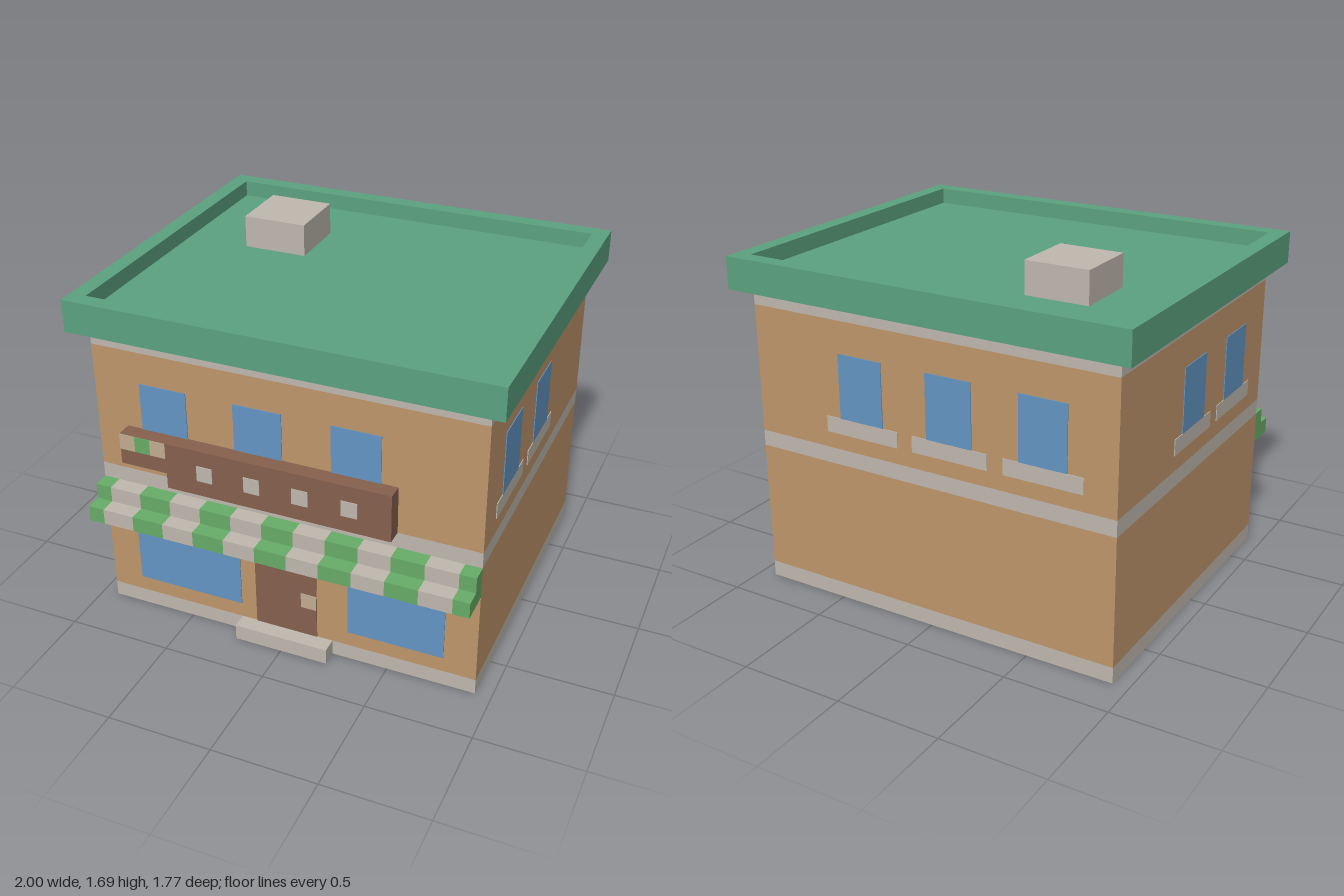
import * as THREE from 'three';

const U = 1 / 13; // one block
const T = 0.05;   // plate thickness, in blocks

const paint = (name, color) => {
  const m = new THREE.MeshStandardMaterial({ color });
  m.name = name;
  return m;
};

export function createModel() {
  const tan = paint('tan wall', 0xc0976c);
  const stone = paint('pale stone', 0xc1b9af);
  const teal = paint('roof green', 0x5ca380);
  const brown = paint('brown wood', 0x87604e);
  const blue = paint('window blue', 0x6496c4);
  const green = paint('awning green', 0x68ad68);
  const beige = paint('beige', 0xc2ac90);

  const model = new THREE.Group();
  model.name = 'shop';

  // Box given by its limits in blocks
  const box = (name, mat, x0, x1, y0, y1, z0, z1, parent = model) => {
    const geo = new THREE.BoxGeometry((x1 - x0) * U, (y1 - y0) * U, (z1 - z0) * U);
    const mesh = new THREE.Mesh(geo, mat);
    mesh.position.set((x0 + x1) / 2 * U, (y0 + y1) / 2 * U, (z0 + z1) / 2 * U);
    mesh.name = name;
    parent.add(mesh);
    return mesh;
  };

  // Walls in flush horizontal bands
  const bands = [
    ['base', stone, 0, 1], ['lowerWall', tan, 1, 9], ['belt', stone, 9, 10],
    ['upperWall', tan, 10, 18], ['cornice', stone, 18, 19],
  ];
  for (const [name, mat, y0, y1] of bands) box(name, mat, -12, 12, y0, y1, -10.5, 9.5);

  // Roof slab with parapet and vent
  box('roofSlab', teal, -13, 13, 19, 20, -11.5, 10.5);
  for (const [x0, x1] of [[-13, -12], [12, 13]]) box('sideParapet', teal, x0, x1, 20, 21, -11.5, 10.5);
  for (const [z0, z1] of [[-11.5, -10.5], [9.5, 10.5]]) box('parapet', teal, -12, 12, 20, 21, z0, z1);
  box('roofVent', stone, -8, -4, 20, 22, -6.5, -2.5);

  // Upper windows on the front and back
  for (const x of [-9, -3, 3]) {
    box('backWindow', blue, x, x + 3, 12, 16, -10.5 - T, -10.5);
    box('backSill', stone, x - 1, x + 4, 11, 12, -10.5 - T, -10.5);
    box('frontWindow', blue, x, x + 3, 12, 16, 9.5, 9.5 + T);
  }

  // Upper windows on both sides
  for (const [x0, x1] of [[12, 12 + T], [-12 - T, -12]]) {
    for (const z of [-2.5, 3.5]) {
      box('sideWindow', blue, x0, x1, 12, 16, z, z + 3);
      box('sideSill', stone, x0, x1, 11, 12, z - 1, z + 4);
    }
  }

  // Shop front
  box('shopWindow', blue, -10, -3, 2, 7, 9.5, 9.5 + T);
  box('shopWindow', blue, 4, 10, 2, 7, 9.5, 9.5 + T);
  box('door', brown, -2, 2, 1, 7, 9.5, 9.5 + T);
  box('doorHandle', beige, 1, 2, 3, 4, 9.5 + T, 9.5 + 2 * T);
  box('doorStep', stone, -3, 3, 0, 1, 9.5, 10.5);

  // Stepped awning with alternating stripes
  const awning = new THREE.Group();
  awning.name = 'awning';
  model.add(awning);
  for (let i = 0; i < 13; i++) {
    const x0 = Math.max(-12, -13 + 2 * i), x1 = Math.min(12, -11 + 2 * i);
    const mat = i % 2 ? stone : green;
    box('upperStripe', mat, x0, x1, 7, 9, 9.5, 10.5, awning);
    box('lowerStripe', mat, x0, x1, 7, 8, 10.5, 11.5, awning);
  }

  // Sign board with a narrow arm
  const sign = new THREE.Group();
  sign.name = 'sign';
  model.add(sign);
  box('signBoard', brown, -7, 7, 10, 13, 9.5, 10.5, sign);
  box('signArm', brown, -10, -7, 11, 13, 9.5, 10.5, sign);
  for (const x of [-5, -2, 1, 4]) box('signSquare', stone, x, x + 1, 11, 12, 10.5, 10.5 + T, sign);
  [beige, green, beige].forEach((mat, i) =>
    box('armSquare', mat, -10 + i, -9 + i, 12, 13, 10.5, 10.5 + T, sign));

  return model;
}
